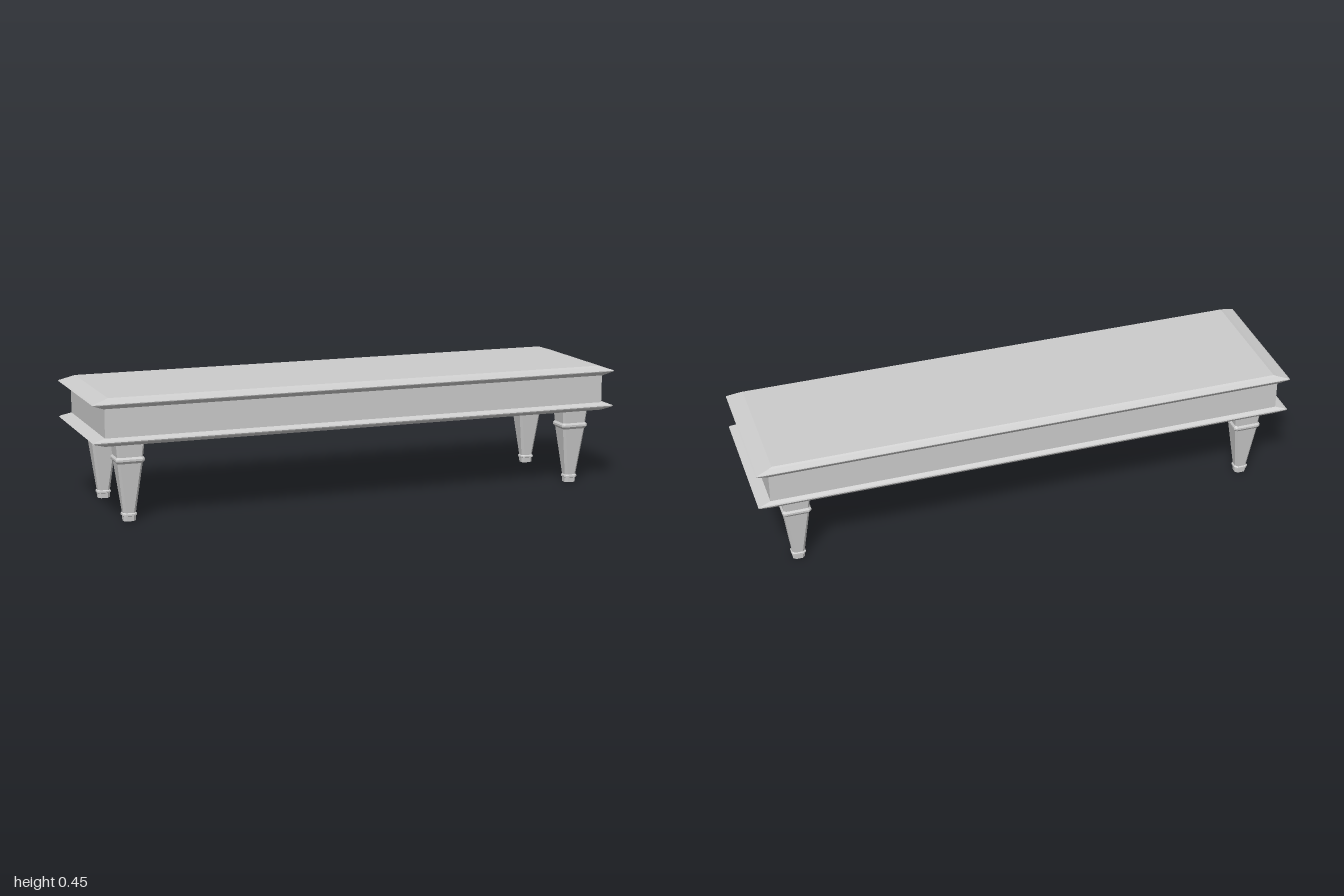
import * as THREE from 'three';

// Rectangle outline with optional cut corners, counter-clockwise seen from above
function outline(hx, hz, cut) {
  if (!cut) return [[hx, hz], [hx, -hz], [-hx, -hz], [-hx, hz]];
  return [
    [hx - cut, hz], [hx, hz - cut], [hx, -hz + cut], [hx - cut, -hz],
    [-hx + cut, -hz], [-hx, -hz + cut], [-hx, hz - cut], [-hx + cut, hz],
  ];
}

// Closed solid through sections [y, halfX, halfZ, cornerCut], listed bottom to top
function loft(sections) {
  const rings = sections.map(([y, hx, hz, cut = 0]) =>
    outline(hx, hz, cut).map(([x, z]) => [x, y, z]));
  const n = rings[0].length;
  const pos = [];
  const tri = (a, b, c) => pos.push(...a, ...b, ...c);
  for (let i = 0; i < rings.length - 1; i++) {
    const lo = rings[i], hi = rings[i + 1];
    for (let j = 0; j < n; j++) {
      const k = (j + 1) % n;
      tri(lo[j], lo[k], hi[k]);
      tri(lo[j], hi[k], hi[j]);
    }
  }
  const bottom = rings[0], top = rings[rings.length - 1];
  for (let j = 1; j < n - 1; j++) {
    tri(bottom[0], bottom[j + 1], bottom[j]);
    tri(top[0], top[j], top[j + 1]);
  }
  const geometry = new THREE.BufferGeometry();
  geometry.setAttribute('position', new THREE.Float32BufferAttribute(pos, 3));
  geometry.computeVertexNormals();
  return geometry;
}

export function createModel() {
  const model = new THREE.Group();
  const material = new THREE.MeshStandardMaterial({ color: 0xcccccc, flatShading: true });
  const add = (name, geometry) => {
    const mesh = new THREE.Mesh(geometry, material);
    mesh.name = name;
    model.add(mesh);
    return mesh;
  };

  // Moulded boards above and below the apron
  add('topBoard', loft([
    [0.412, 0.955, 0.252], [0.427, 0.995, 0.264], [0.43, 1, 0.265],
    [0.433, 0.995, 0.263], [0.445, 0.955, 0.253], [0.45, 0.94, 0.247],
  ]));
  add('apron', loft([[0.305, 0.955, 0.253], [0.415, 0.955, 0.253]]));
  add('lowerBoard', loft([
    [0.282, 0.955, 0.252], [0.293, 0.993, 0.263], [0.297, 1, 0.265],
    [0.301, 0.993, 0.263], [0.311, 0.955, 0.253],
  ]));

  // Tapered legs with cut corners: foot, ankle ring, shaft, collar, top block
  const legProfile = [
    [0, 0.019, 0.009], [0.018, 0.02, 0.009], [0.02, 0.023, 0.009],
    [0.026, 0.023, 0.009], [0.03, 0.02, 0.009], [0.21, 0.04, 0.008],
    [0.219, 0.046, 0.008], [0.226, 0.046, 0.008], [0.233, 0.041, 0.007],
    [0.285, 0.045, 0.006],
  ];
  const legGeometry = loft(legProfile.map(([y, h, cut]) => [y, h * 1.13, h, cut]));
  for (const [side, x] of [['Left', 0.86], ['Right', -0.86]]) {
    for (const [end, z] of [['front', 0.186], ['back', -0.186]]) {
      add(`${end}${side}Leg`, legGeometry).position.set(x, 0, z);
    }
  }
  return model;
}
